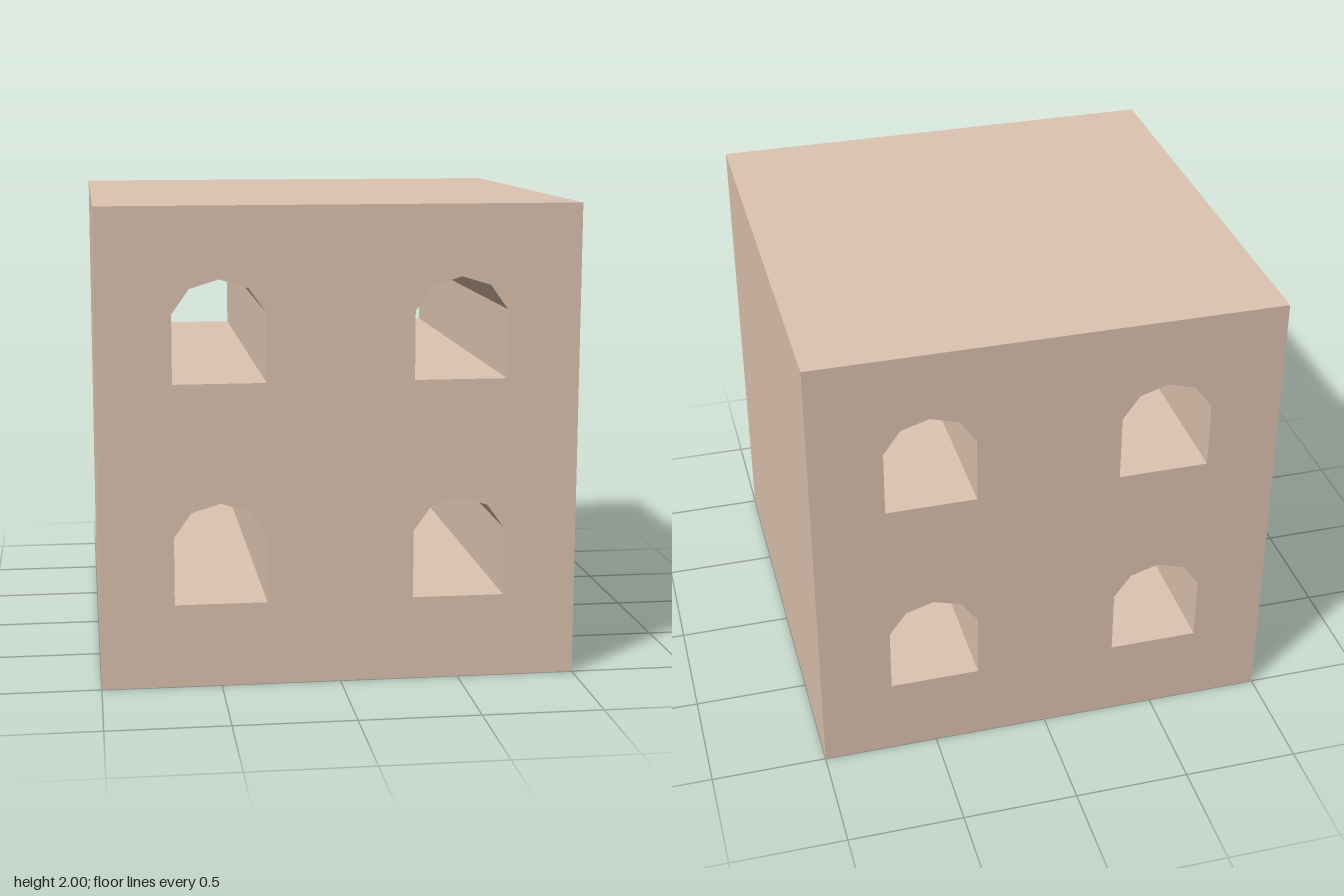
import * as THREE from 'three';

// Faceted arched window outline, measured from the middle of its sill
function archedWindow(x, sill) {
  const outline = [
    [-0.193, 0], [-0.193, 0.287], [-0.12, 0.389], [0, 0.426],
    [0.12, 0.389], [0.193, 0.287], [0.193, 0],
  ];
  return new THREE.Path(outline.map(([px, py]) => new THREE.Vector2(x + px, sill + py)));
}

export function createModel() {
  const group = new THREE.Group();
  group.name = 'windowBlock';

  // Square block outline
  const wall = new THREE.Shape([
    new THREE.Vector2(-1, 0), new THREE.Vector2(1, 0),
    new THREE.Vector2(1, 2), new THREE.Vector2(-1, 2),
  ]);

  // Two rows of two windows, cut right through from front to back
  for (const sill of [0.352, 1.277]) {
    for (const x of [-0.5, 0.5]) wall.holes.push(archedWindow(x, sill));
  }

  const geometry = new THREE.ExtrudeGeometry(wall, { depth: 2, bevelEnabled: false });
  geometry.translate(0, 0, -1);

  const block = new THREE.Mesh(
    geometry,
    new THREE.MeshStandardMaterial({ color: 0xdec4b0, flatShading: true }),
  );
  block.name = 'wallBlock';
  group.add(block);
  return group;
}
